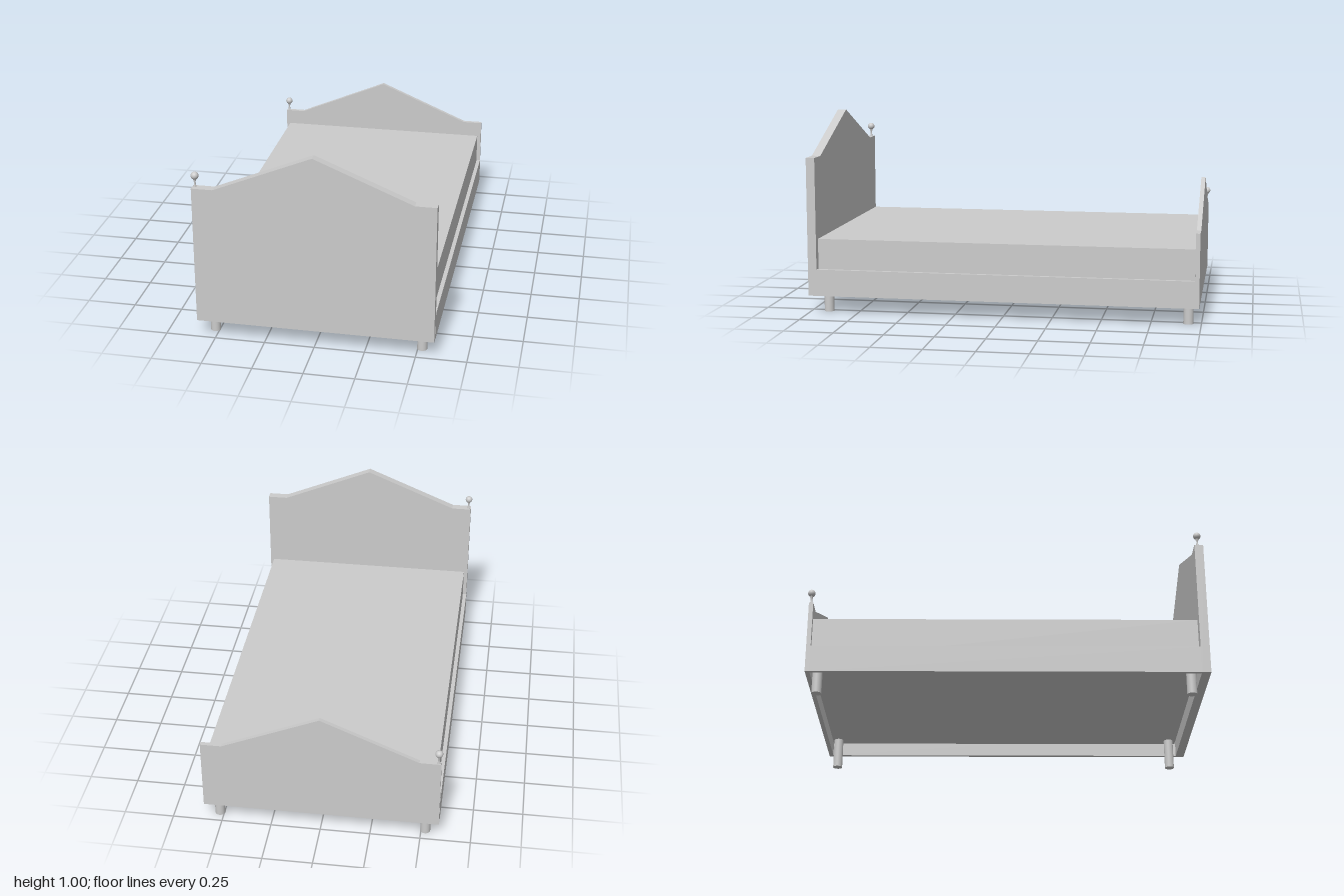
import * as THREE from 'three';

export function createModel() {
  const bed = new THREE.Group();
  bed.name = 'bed';
  const material = new THREE.MeshStandardMaterial({ color: 0xcccccc });

  const add = (name, geometry, x = 0, y = 0, z = 0) => {
    const mesh = new THREE.Mesh(geometry, material);
    mesh.name = name;
    mesh.position.set(x, y, z);
    bed.add(mesh);
    return mesh;
  };

  // Box given by its lower and upper corners
  const box = (name, [x0, y0, z0], [x1, y1, z1]) =>
    add(name, new THREE.BoxGeometry(x1 - x0, y1 - y0, z1 - z0),
      (x0 + x1) / 2, (y0 + y1) / 2, (z0 + z1) / 2);

  // End board: flat panel with a triangular pediment
  const endBoard = (name, top, peak, z, depth) => {
    const shape = new THREE.Shape([
      [-0.59, 0.09], [0.59, 0.09], [0.59, top], [0.485, top],
      [0, peak], [-0.485, top], [-0.59, top],
    ].map(([x, y]) => new THREE.Vector2(x, y)));
    add(name, new THREE.ExtrudeGeometry(shape, { depth, bevelEnabled: false }), 0, 0, z);
  };
  endBoard('headboard', 0.8, 1.0, 0.955, 0.045);
  endBoard('footboard', 0.465, 0.67, -0.99, 0.022);

  // Ball finials on one side only
  const finial = (name, y, z) => {
    const stem = [[0.007, 0], [0.005, 0.012], [0.004, 0.025], [0.009, 0.04]]
      .map(([r, h]) => new THREE.Vector2(r, h));
    add(name + 'Stem', new THREE.LatheGeometry(stem, 16), -0.577, y, z);
    add(name + 'Ball', new THREE.SphereGeometry(0.019, 24, 16), -0.577, y + 0.057, z);
  };
  finial('headFinial', 0.8, 0.972);
  finial('footFinial', 0.465, -0.98);

  // Side rails and legs
  for (const s of [-1, 1]) {
    const side = s > 0 ? 'left' : 'right';
    add(side + 'Rail', new THREE.BoxGeometry(0.02, 0.137, 1.924), s * 0.581, 0.1585, -0.007);
    for (const [end, z] of [['Front', 0.91], ['Back', -0.935]]) {
      add(side + end + 'Leg', new THREE.CylinderGeometry(0.025, 0.025, 0.16, 24), s * 0.521, 0.08, z);
    }
  }

  // Mattress, set down between the rails
  box('mattress', [-0.57, 0.16, -0.967], [0.57, 0.383, 0.95]);

  return bed;
}
